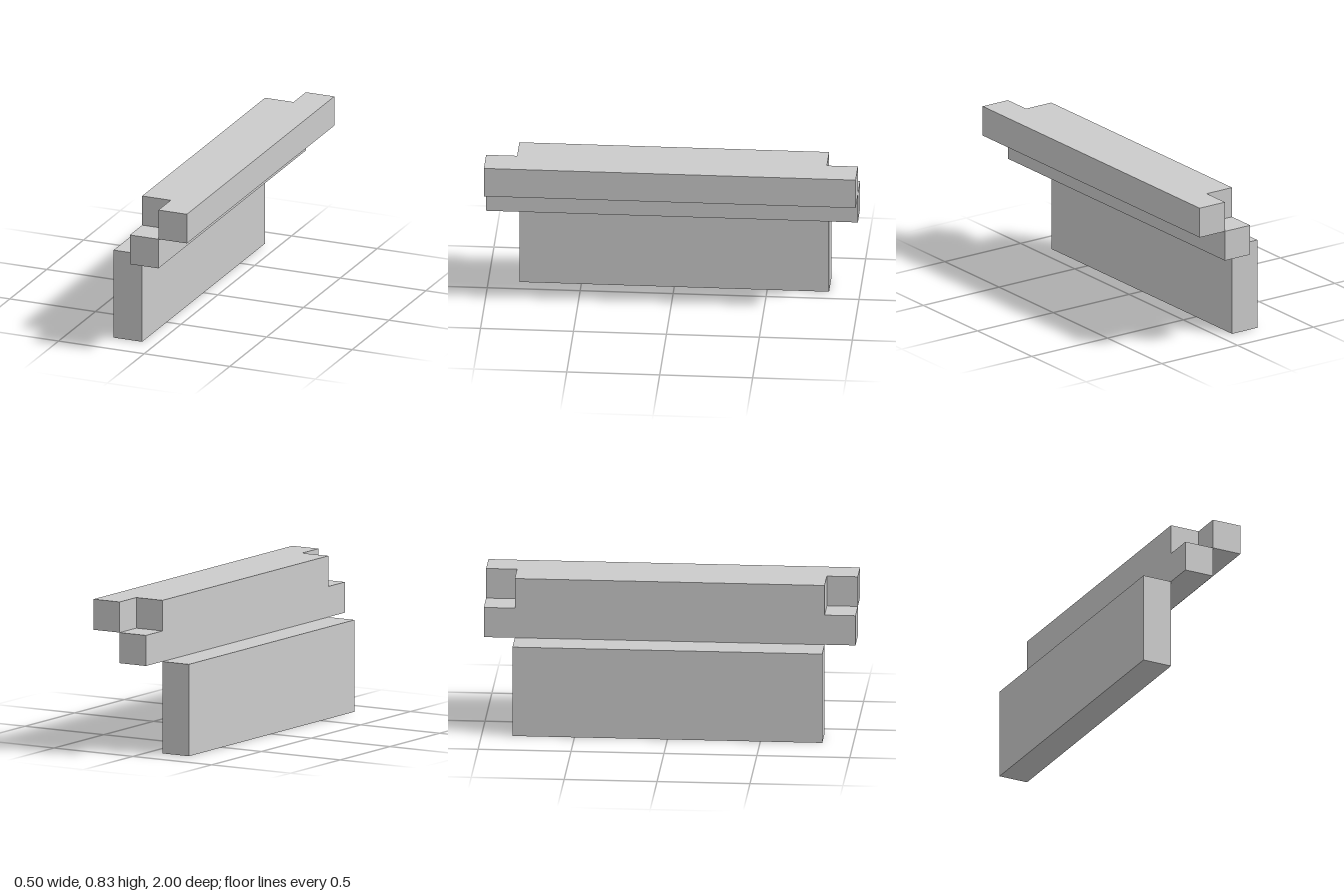
import * as THREE from 'three';

const U = 1 / 6; // block module: every part is a multiple of this

export function createModel() {
  const group = new THREE.Group();
  const material = new THREE.MeshStandardMaterial({ color: 0xcccccc, flatShading: true });

  function add(name, geometry, x, y, z) {
    const mesh = new THREE.Mesh(geometry, material);
    mesh.name = name;
    mesh.position.set(x, y, z);
    group.add(mesh);
  }

  // Lower wall, one module thick and shorter than the beams
  add('lowerWall', new THREE.BoxGeometry(U, 3 * U, 10 * U), -U, 1.5 * U, 0);

  // Middle beam, stepped one module outwards and full length
  add('middleBeam', new THREE.BoxGeometry(U, U, 12 * U), 0, 3.5 * U, 0);

  // Top slab: two modules wide, with a square notch at each inner corner
  const plan = new THREE.Shape([
    [-0.5, -5], [0.5, -5], [0.5, -6], [1.5, -6],
    [1.5, 6], [0.5, 6], [0.5, 5], [-0.5, 5],
  ].map(([x, z]) => new THREE.Vector2(x * U, z * U)));
  const slab = new THREE.ExtrudeGeometry(plan, { depth: U, bevelEnabled: false });
  slab.rotateX(Math.PI / 2); // plan lies flat, thickness hangs down
  add('topSlab', slab, 0, 5 * U, 0);

  return group;
}
